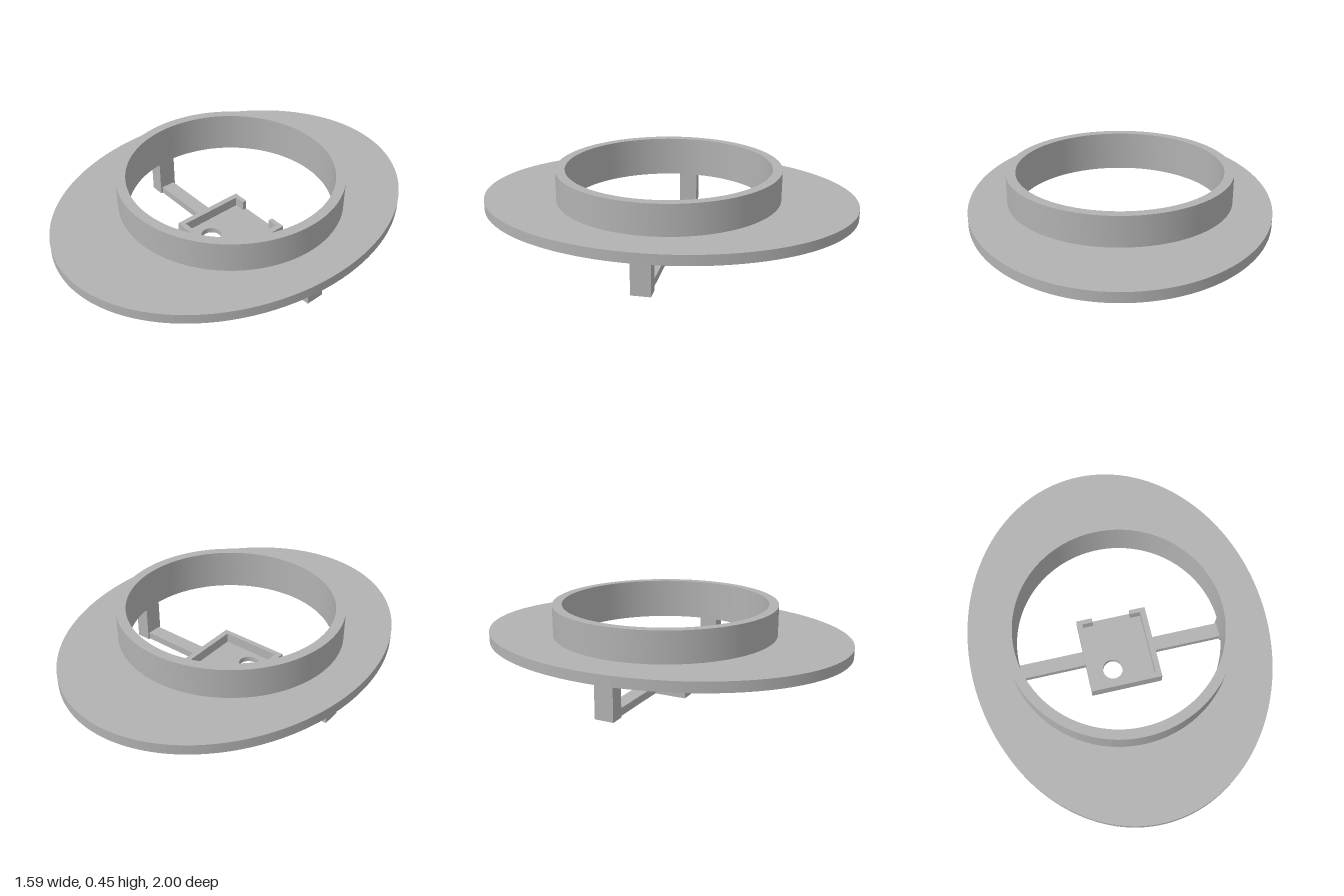
import * as THREE from 'three';
import { toCreasedNormals } from 'three/addons/utils/BufferGeometryUtils.js';

export function createModel() {
  const model = new THREE.Group();
  const grey = new THREE.MeshStandardMaterial({ color: 0xb2b2b2 });
  grey.name = 'plain grey';

  const add = (name, geometry) => {
    const mesh = new THREE.Mesh(geometry, grey);
    mesh.name = name;
    model.add(mesh);
  };

  // Upright slab from a plan outline, with shape y pointing to the back (-z)
  const slab = (shape, y0, y1) => {
    const g = new THREE.ExtrudeGeometry(shape, { depth: y1 - y0, bevelEnabled: false, curveSegments: 96 });
    g.rotateX(-Math.PI / 2).translate(0, y0, 0);
    return toCreasedNormals(g, 0.6);
  };
  const ellipse = (rx, ry, hole) => {
    const s = new THREE.Shape().absellipse(0, 0, rx, ry, 0, Math.PI * 2);
    s.holes.push(new THREE.Path().absarc(0, 0, hole, 0, Math.PI * 2, true));
    return s;
  };
  const box = (x0, x1, y0, y1, z0, z1) =>
    new THREE.BoxGeometry(x1 - x0, y1 - y0, z1 - z0)
      .translate((x0 + x1) / 2, (y0 + y1) / 2, (z0 + z1) / 2);
  const polygon = (pts) => new THREE.Shape(pts.map(([x, y]) => new THREE.Vector2(x, y)));

  // Oval flange and round collar sharing one bore
  add('flange', slab(ellipse(0.797, 1, 0.547), 0.232, 0.286));
  add('collar', slab(ellipse(0.598, 0.598, 0.547), 0.286, 0.449));

  // Tray floor with an off-centre hole
  const floor = polygon([[-0.198, -0.21], [0.198, -0.21], [0.198, 0.21], [-0.198, 0.21]]);
  floor.holes.push(new THREE.Path().absarc(-0.055, -0.093, 0.055, 0, Math.PI * 2, true));
  add('trayFloor', slab(floor, 0, 0.03));

  // Tray wall, open in the middle of the back
  add('trayWall', slab(polygon([
    [-0.108, 0.21], [-0.198, 0.21], [-0.198, -0.21], [0.198, -0.21], [0.198, 0.21], [0.108, 0.21],
    [0.108, 0.185], [0.167, 0.185], [0.167, -0.182], [-0.167, -0.182], [-0.167, 0.185], [-0.108, 0.185],
  ]), 0.03, 0.085));

  // Arms and posts that carry the flange on both sides
  for (const [side, s] of [['left', 1], ['right', -1]]) {
    const span = (a, b) => (s > 0 ? [a, b] : [-b, -a]);
    add(side + 'Arm', box(...span(0.198, 0.575), 0, 0.04, -0.04, 0.04));
    add(side + 'Post', box(...span(0.575, 0.653), 0, 0.232, -0.051, 0.051));
  }
  return model;
}
